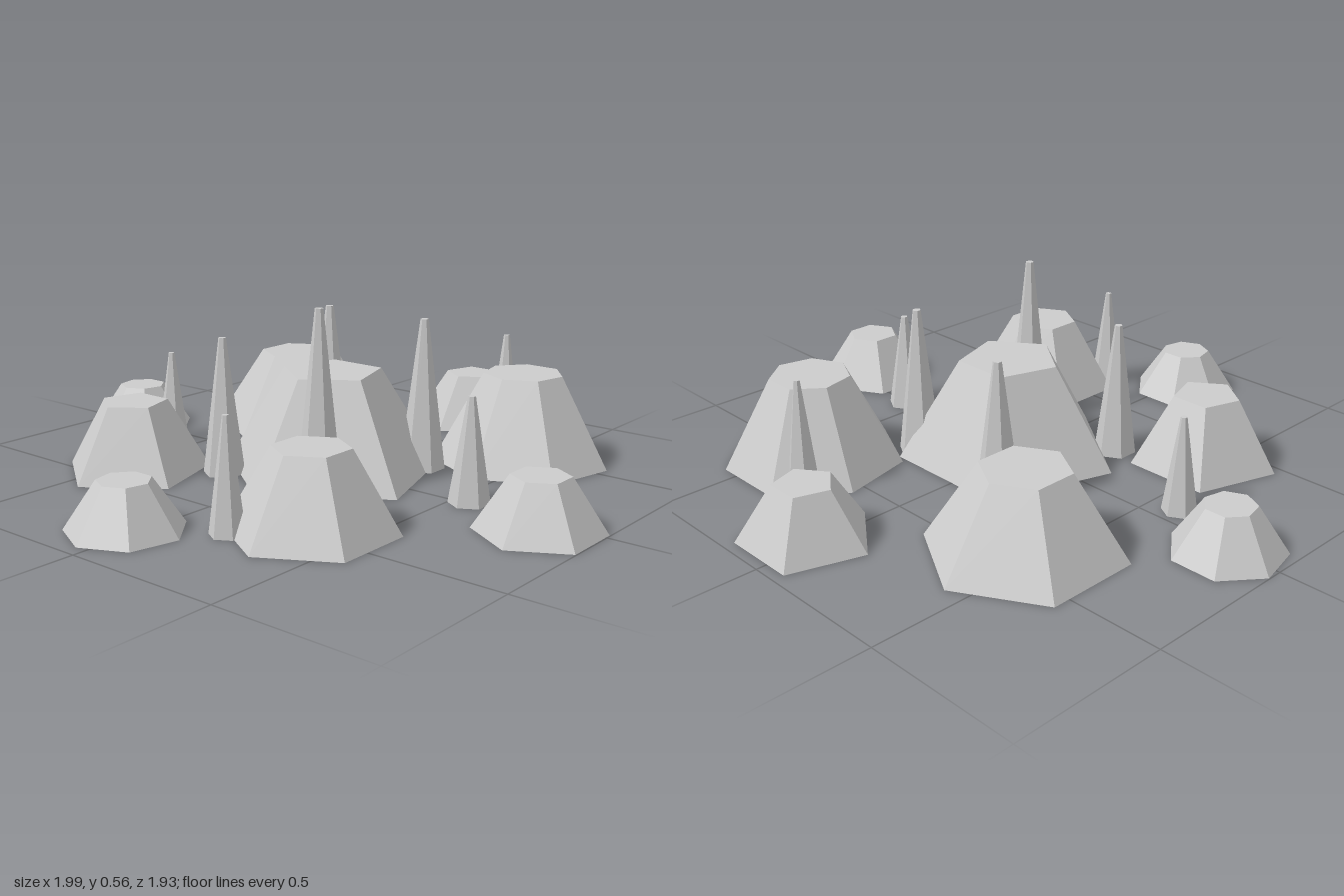
import * as THREE from 'three';

export function createModel() {
  const group = new THREE.Group();
  const material = new THREE.MeshStandardMaterial({ color: 0xcccccc, flatShading: true });

  // A faceted, flat-topped cone standing on the ground
  function addFrustum(name, x, z, radius, height, sides, taper) {
    const geometry = new THREE.CylinderGeometry(radius * taper, radius, height, sides);
    const mesh = new THREE.Mesh(geometry, material);
    mesh.name = name;
    mesh.position.set(x, height / 2, z);
    group.add(mesh);
  }

  // Broad rock mounds: x, z, radius, height, sides
  const mounds = [
    [0.04, -0.005, 0.356, 0.32, 5],
    [-0.433, -0.404, 0.3, 0.255, 6],
    [0.438, -0.484, 0.283, 0.287, 7],
    [0.042, -0.8, 0.204, 0.175, 5],
    [-0.83, -0.007, 0.172, 0.144, 7],
    [0.834, 0.072, 0.188, 0.16, 6],
    [-0.433, 0.39, 0.235, 0.223, 5],
    [0.358, 0.468, 0.251, 0.24, 6],
    [-0.037, 0.786, 0.174, 0.144, 7],
  ];
  mounds.forEach(([x, z, r, h, sides], i) => addFrustum(`mound${i + 1}`, x, z, r, h, sides, 0.45));

  // Slender six-sided spires: x, z, radius, height
  const spires = [
    [-0.197, -0.283, 0.074, 0.46],
    [0.245, -0.207, 0.072, 0.478],
    [0.275, -0.643, 0.055, 0.365],
    [0.555, -0.007, 0.063, 0.32],
    [-0.594, 0.072, 0.054, 0.303],
    [-0.197, 0.234, 0.067, 0.43],
    [0.164, 0.204, 0.071, 0.558],
    [0.2, 0.633, 0.053, 0.335],
  ];
  spires.forEach(([x, z, r, h], i) => addFrustum(`spire${i + 1}`, x, z, r, h, 6, 0.18));

  return group;
}
